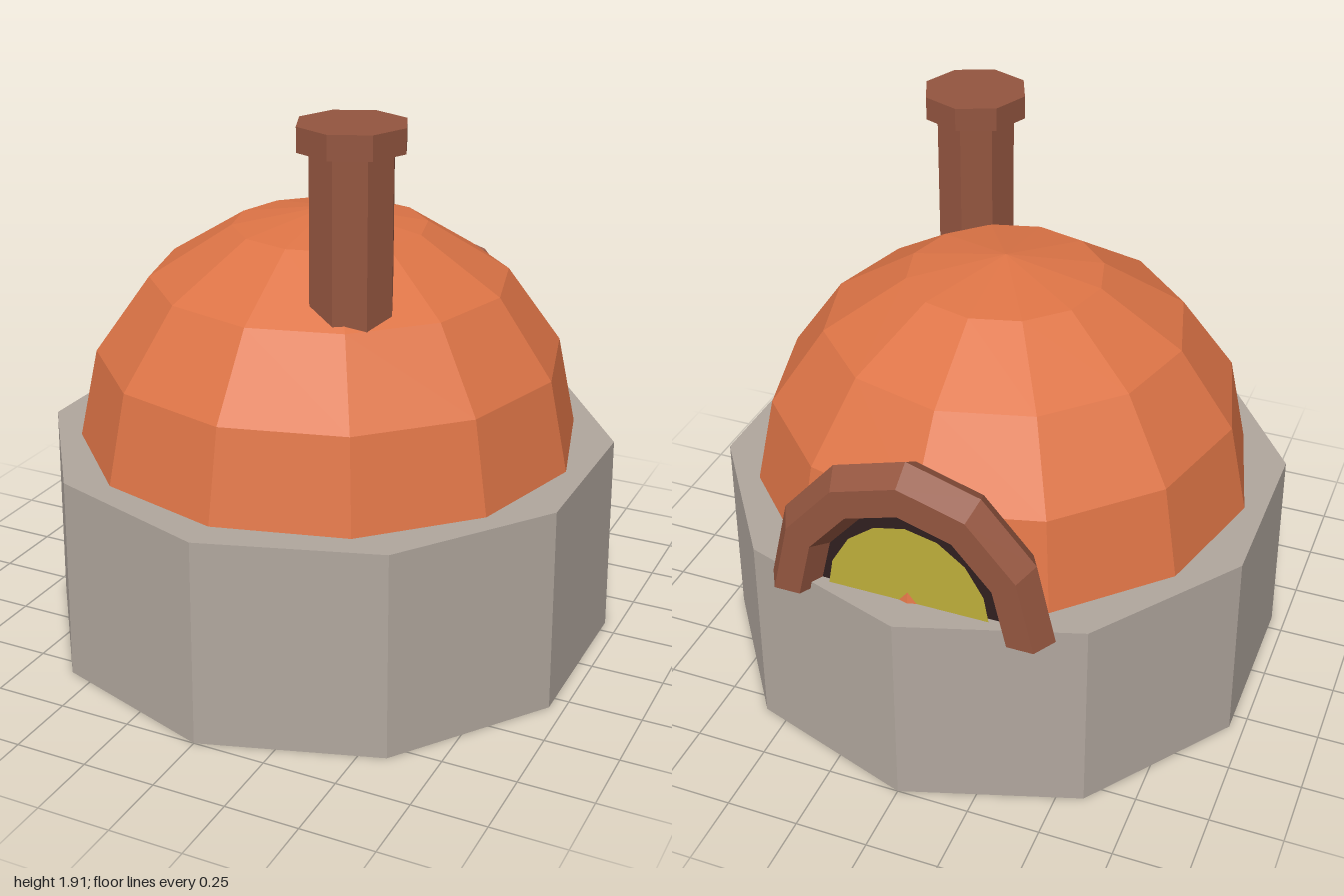
import * as THREE from 'three';

const mat = (name, color, extra = {}) => {
  const m = new THREE.MeshStandardMaterial({ color, flatShading: true, ...extra });
  m.name = name;
  return m;
};

export function createModel() {
  const stone = mat('stone grey', 0xb0a69d);
  const clay = mat('clay orange', 0xdd7446);
  const brick = mat('brick brown', 0x93553f);
  const soot = mat('soot black', 0x2f1f1f, { side: THREE.DoubleSide });
  const glow = mat('fire yellow', 0xbdae3a, { side: THREE.DoubleSide });

  const group = new THREE.Group();
  group.name = 'oven';
  const add = (name, geometry, material, x, y, z, parent = group) => {
    const mesh = new THREE.Mesh(geometry, material);
    mesh.name = name;
    mesh.position.set(x, y, z);
    parent.add(mesh);
    return mesh;
  };

  // Ten-sided stone base
  add('base', new THREE.CylinderGeometry(0.99, 1, 0.71, 10), stone, 0, 0.355, 0);

  // Faceted clay dome
  const dome = new THREE.SphereGeometry(0.87, 12, 4, 0, Math.PI * 2, 0, Math.PI / 2);
  add('dome', dome.scale(1, 0.81 / 0.87, 1), clay, 0, 0.71, 0);

  // Octagonal chimney and its cap
  add('chimney', new THREE.CylinderGeometry(0.14, 0.14, 0.75, 8), brick, 0.26, 1.46, 0.385);
  add('chimneyCap', new THREE.CylinderGeometry(0.18, 0.18, 0.08, 8), brick, 0.26, 1.87, 0.385);

  // Arched mouth at the back, slightly taller than a half circle
  const mouth = new THREE.Group();
  mouth.name = 'mouth';
  mouth.position.set(0, 0.68, -0.84);
  mouth.scale.y = 1.14;
  group.add(mouth);
  add('arch', new THREE.TorusGeometry(0.4, 0.09, 6, 6, Math.PI), brick, 0, 0, 0, mouth);
  for (const side of [-1, 1]) {
    add('archFoot', new THREE.CircleGeometry(0.09, 6).rotateX(Math.PI / 2), brick, side * 0.4, 0, 0, mouth);
  }

  // Dark opening with the fire glow in front of it
  const halfDisc = (r, n) => new THREE.CircleGeometry(r, n, 0, Math.PI).rotateY(Math.PI);
  add('opening', halfDisc(0.39, 6), soot, 0, 0, -0.006, mouth);
  add('fireGlow', halfDisc(0.28, 8), glow, 0, 0, -0.022, mouth);

  return group;
}
